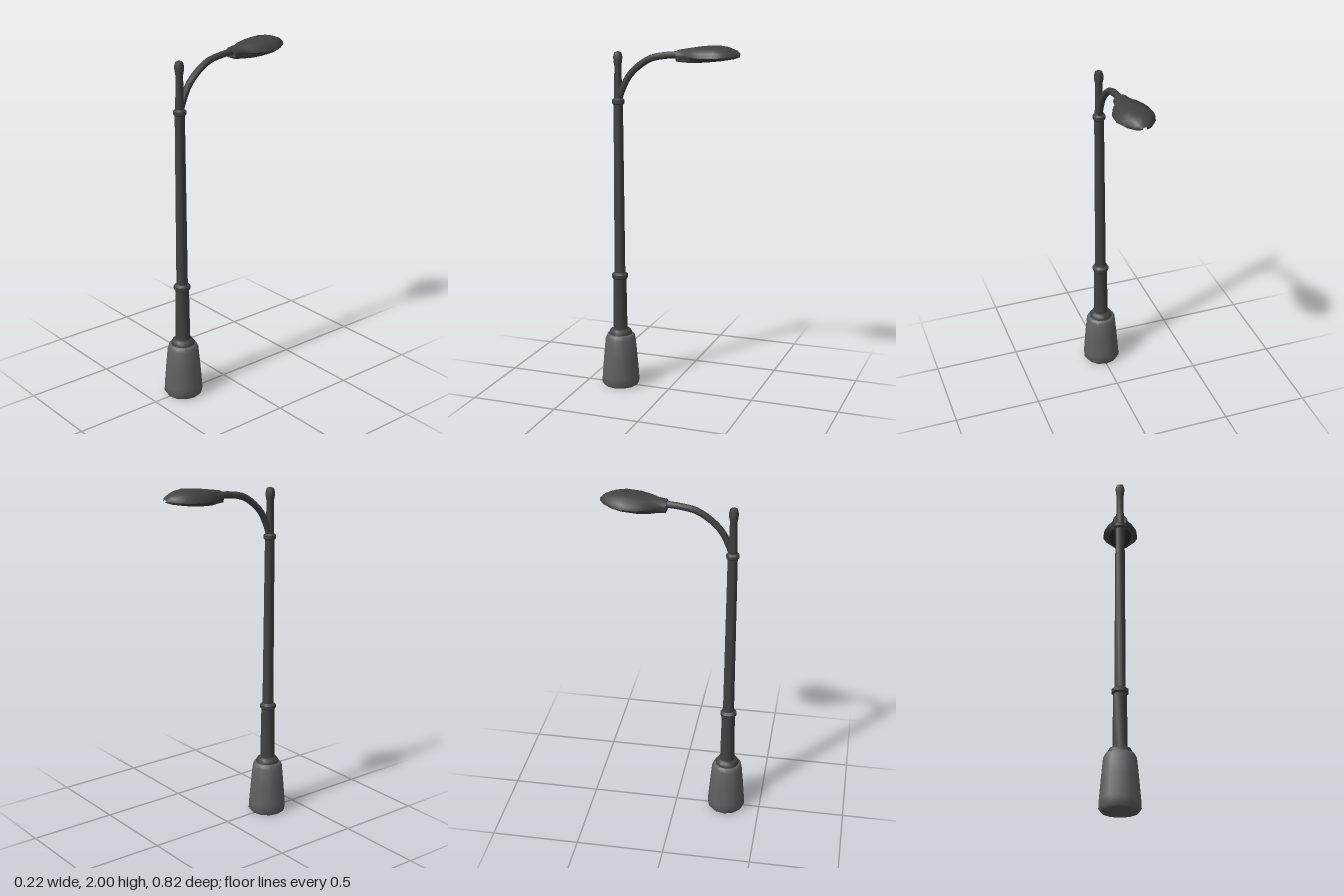
import * as THREE from 'three';
import { toCreasedNormals } from 'three/addons/utils/BufferGeometryUtils.js';

const POLE_Z = 0.3;

function material(name, color) {
  const m = new THREE.MeshStandardMaterial({ color });
  m.name = name;
  return m;
}

function part(name, geometry, mat, crease = 0.8) {
  const mesh = new THREE.Mesh(toCreasedNormals(geometry, crease), mat);
  mesh.name = name;
  return mesh;
}

// Turned part standing on the pole axis
function turned(name, profile, sides, mat) {
  const points = profile.map(([r, y]) => new THREE.Vector2(r, y));
  const mesh = part(name, new THREE.LatheGeometry(points, sides), mat);
  mesh.position.z = POLE_Z;
  return mesh;
}

// Skin over equal-length rows of points, with an optional fan over the first row
function loft(rows, closed, cap) {
  const n = rows[0].length, index = [];
  for (let i = 0; i < rows.length - 1; i++) {
    for (let j = 0; j < (closed ? n : n - 1); j++) {
      const k = (j + 1) % n, a = i * n, b = a + n;
      index.push(a + j, b + j, a + k, a + k, b + j, b + k);
    }
  }
  if (cap) for (let j = 1; j < n - 1; j++) index.push(0, j, j + 1);
  const g = new THREE.BufferGeometry();
  g.setAttribute('position', new THREE.Float32BufferAttribute(rows.flat(2), 3));
  g.setIndex(index);
  return g;
}

export function createModel() {
  const model = new THREE.Group();
  model.name = 'streetLamp';
  const metal = material('darkMetal', 0x424243);
  const stone = material('greyBase', 0x606165);
  const glass = material('darkLens', 0x303031);

  // Tapered footing and the collar on top of it
  model.add(turned('base', [
    [0, 0], [0.1, 0], [0.11, 0.015], [0.108, 0.06], [0.098, 0.18], [0.088, 0.285], [0.08, 0.305], [0.06, 0.315], [0, 0.315],
  ], 12, stone));
  model.add(turned('collar', [
    [0.068, 0.305], [0.068, 0.318], [0.058, 0.335], [0.042, 0.342],
  ], 12, metal));

  // Pole in narrowing stages
  model.add(turned('lowerPole', [[0.042, 0.33], [0.038, 0.65]], 10, metal));
  model.add(turned('upperPole', [[0.032, 0.66], [0.027, 1.67]], 10, metal));
  model.add(turned('topPole', [
    [0.024, 1.67], [0.02, 1.87], [0.025, 1.895], [0.026, 1.92], [0.02, 1.942], [0, 1.95],
  ], 10, metal));

  // Raised rings where the stages meet
  for (const [y, r, name] of [[0.66, 0.047, 'lowerRing'], [1.67, 0.036, 'upperRing']]) {
    model.add(turned(name, [
      [r - 0.012, y - 0.02], [r, y - 0.009], [r, y + 0.009], [r - 0.017, y + 0.022],
    ], 10, metal));
  }

  // Curved arm reaching back from the pole
  const path = new THREE.CatmullRomCurve3([
    [1.69, 0.293], [1.745, 0.272], [1.81, 0.238], [1.87, 0.18], [1.917, 0.105], [1.937, 0.01], [1.943, -0.07],
  ].map(([y, z]) => new THREE.Vector3(0, y, z)));
  model.add(part('arm', new THREE.TubeGeometry(path, 14, 0.019, 8), metal, 1));

  // Lamp head stations: z, half width, crown y, edge y, underside y, lens recess
  const stations = [
    [-0.052, 0.042, 1.968, 1.937, 1.908, 0],
    [-0.1, 0.047, 1.977, 1.938, 1.905, 0],
    [-0.14, 0.076, 1.984, 1.936, 1.906, 0.012],
    [-0.2, 0.1, 1.994, 1.935, 1.911, 0.025],
    [-0.28, 0.104, 2.0, 1.937, 1.919, 0.025],
    [-0.33, 0.087, 1.994, 1.94, 1.925, 0.018],
    [-0.385, 0.048, 1.975, 1.944, 1.934, 0],
    [-0.407, 0.012, 1.955, 1.947, 1.942, 0],
  ];
  const rim = 0.76, inner = 0.66;
  const shellRows = stations.map(([z, w, top, edge, low, recess]) => {
    const row = [];
    for (let j = 0; j <= 8; j++) {
      const a = Math.PI * j / 8;
      row.push([w * Math.cos(a), edge + (top - edge) * Math.sin(a), z]);
    }
    row.push([-w * rim, low, z], [-w * inner, low + recess, z]);
    row.push([w * inner, low + recess, z], [w * rim, low, z]);
    return row;
  });
  const head = new THREE.Group();
  head.name = 'lampHead';
  head.add(part('shell', loft(shellRows, true, true), metal, 0.7));

  // Lens plate set into the underside
  const lensRows = stations.slice(2, 7).map(([z, w, , , low, recess]) =>
    [-1, 0, 1].map((s) => [s * w * inner, low + recess - 0.004, z]));
  head.add(part('lens', loft(lensRows, false, false), glass));
  model.add(head);

  return model;
}
